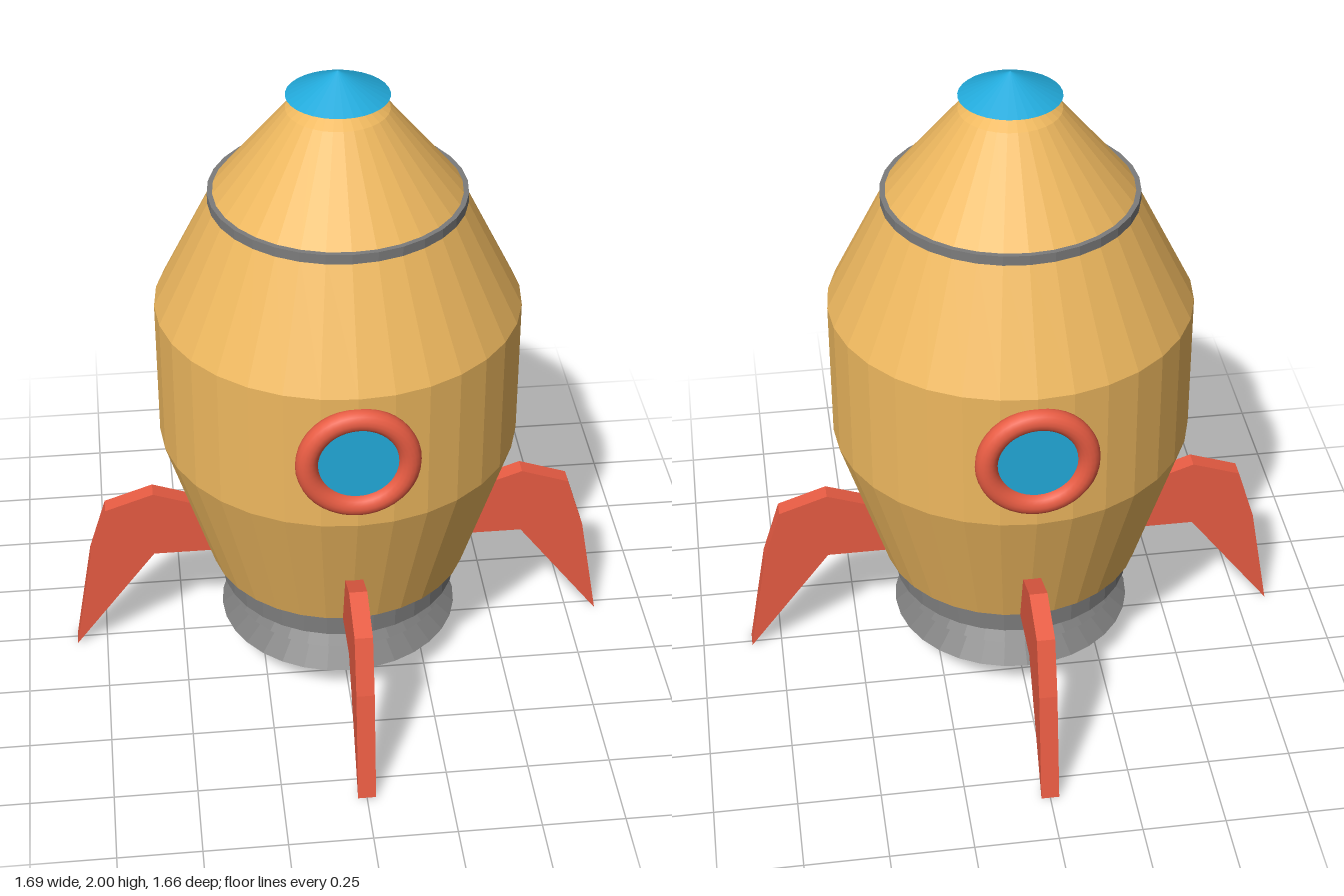
import * as THREE from 'three';

const SIDES = 32;
const CENTER_Z = 0.01;

const paint = (color, flatShading = false) =>
  new THREE.MeshStandardMaterial({ color, flatShading });

const yellow = paint(0xeeb85f, true);
const red = paint(0xe85c43, true);
const redSmooth = paint(0xe85c43);
const blue = paint(0x22aadb, true);
const grey = paint(0x7c7c7c, true);

function add(parent, name, geometry, material) {
  const mesh = new THREE.Mesh(geometry, material);
  mesh.name = name;
  parent.add(mesh);
  return mesh;
}

// Turned solid from [radius, height] pairs, listed bottom to top
function turned(profile) {
  return new THREE.LatheGeometry(profile.map(([r, y]) => new THREE.Vector2(r, y)), SIDES);
}

// Swept landing fin, lying in the xy plane and pointing to +x
function finGeometry() {
  const thickness = 0.054;
  const outline = [
    [0.36, 0.345], [0.585, 0.345], [0.845, 0], [0.785, 0.35],
    [0.73, 0.525], [0.58, 0.577], [0.42, 0.52],
  ];
  const shape = new THREE.Shape(outline.map(([x, y]) => new THREE.Vector2(x, y)));
  const geometry = new THREE.ExtrudeGeometry(shape, { depth: thickness, bevelEnabled: false });
  return geometry.translate(0, 0, -thickness / 2);
}

// Round window: rim and glass facing +z
function createPorthole(name) {
  const porthole = new THREE.Group();
  porthole.name = name;
  const rim = add(porthole, 'windowRim', new THREE.TorusGeometry(0.148, 0.033, 16, 40), redSmooth);
  rim.position.set(0, 1.042, 0.55);
  const glass = add(porthole, 'windowGlass', new THREE.CylinderGeometry(0.14, 0.14, 0.05, 40), blue);
  glass.rotation.x = Math.PI / 2;
  glass.position.set(0, 1.042, 0.53);
  return porthole;
}

export function createModel() {
  const rocket = new THREE.Group();
  rocket.name = 'rocket';

  const hull = new THREE.Group();
  hull.name = 'hull';
  hull.position.z = CENTER_Z;
  rocket.add(hull);

  // Main body with tapered base and shoulder
  add(hull, 'body', turned([
    [0, 0.345], [0.402, 0.345], [0.546, 0.81], [0.546, 1.255], [0.37, 1.61], [0, 1.61],
  ]), yellow);

  // Nose, separated from the body by a thin band
  add(hull, 'nose', turned([
    [0, 1.61], [0.372, 1.615], [0.15, 1.885], [0.08, 1.93], [0, 1.93],
  ]), yellow);
  const band = add(hull, 'noseBand', new THREE.CylinderGeometry(0.379, 0.379, 0.03, SIDES), grey);
  band.position.y = 1.61;

  // Pointed cap
  const cap = add(hull, 'noseCap', new THREE.ConeGeometry(0.15, 0.074, SIDES), blue);
  cap.position.y = 1.963;

  // Engine collar and two flared nozzle rings
  add(hull, 'engine', turned([
    [0, 0.11], [0.373, 0.11], [0.293, 0.177], [0.337, 0.177],
    [0.255, 0.255], [0.37, 0.255], [0.37, 0.347], [0, 0.347],
  ]), grey);

  // Windows at front and back
  hull.add(createPorthole('frontWindow'));
  const backWindow = createPorthole('backWindow');
  backWindow.rotation.y = Math.PI;
  hull.add(backWindow);

  // Four fins at quarter turns
  const fin = finGeometry();
  ['leftFin', 'backFin', 'rightFin', 'frontFin'].forEach((name, i) => {
    const mesh = add(rocket, name, fin, red);
    mesh.rotation.y = i * Math.PI / 2;
    if (i % 2 === 0) mesh.position.z = CENTER_Z * 0.7;
    else mesh.scale.x = 0.985;
  });

  return rocket;
}
